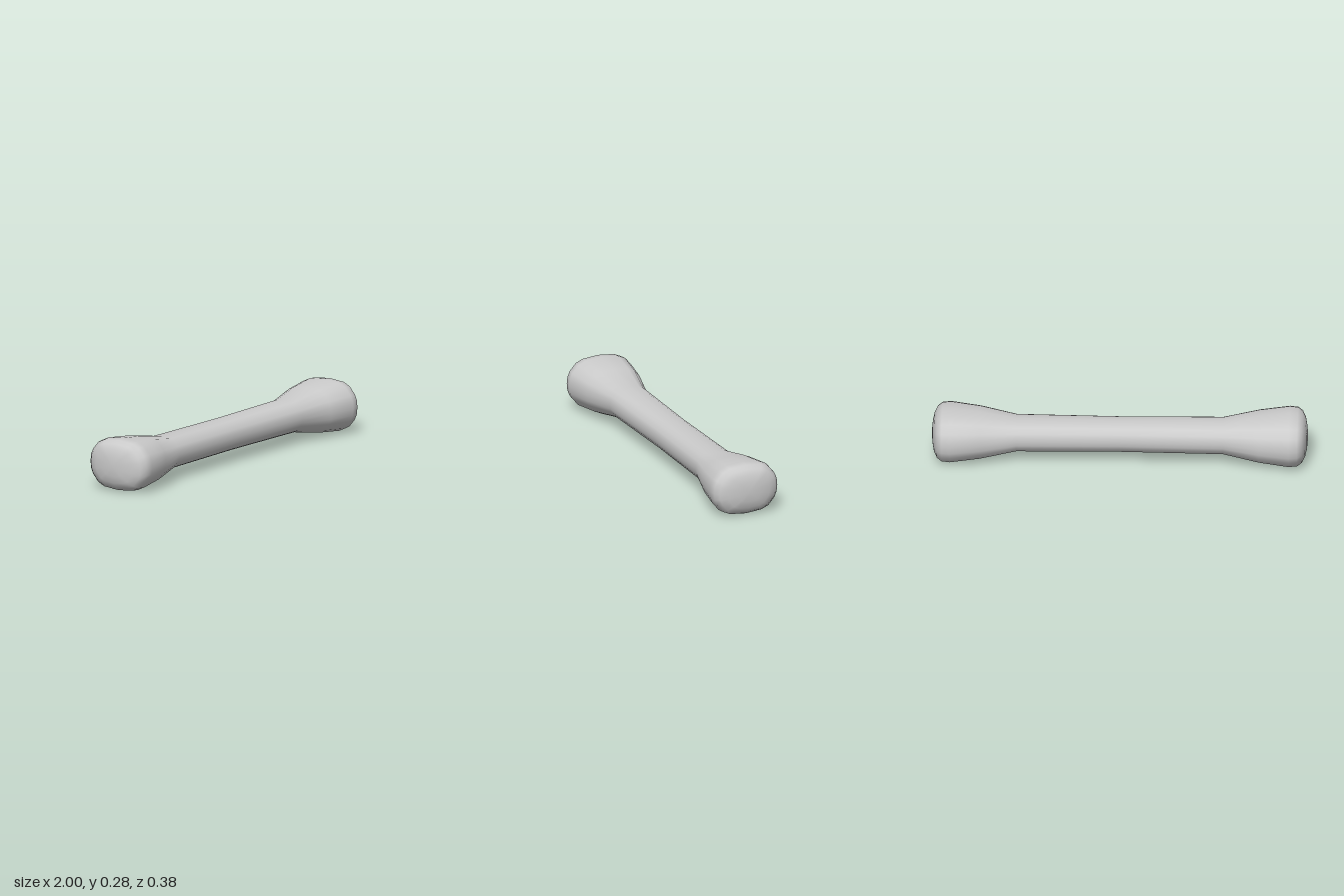
import * as THREE from 'three';

// One quadrant of the unit cross-section as [z, y], from the top to the side
const QUADRANT = [[0, 1], [0.5, 0.935], [0.72, 0.8], [0.91, 0.5], [0.98, 0.27]];

// Half of the length: [x, half height, half depth], mirrored for the other end
const STATIONS = [
  [0, 0.084, 0.103],
  [0.55, 0.087, 0.112],
  [0.74, 0.122, 0.163],
  [0.9, 0.14, 0.19],
  [0.945, 0.136, 0.184],
  [0.97, 0.119, 0.162],
  [0.986, 0.092, 0.12],
  [0.995, 0.055, 0.065],
];
const CENTRE_Y = 0.142;

// Full closed section, made by mirroring the quadrant four ways
function makeSection() {
  const side = [[1, 0]];
  const lower = [...QUADRANT].reverse().map(([z, y]) => [z, -y]);
  const right = [...QUADRANT, ...side, ...lower];
  const left = right.slice(1, -1).reverse().map(([z, y]) => [-z, y]);
  return [...right, ...left];
}

function loftBar() {
  const section = makeSection();
  const n = section.length;
  const mirrored = STATIONS.slice(1).reverse().map(([x, h, d]) => [-x, h, d]);
  const rings = [...mirrored, ...STATIONS];
  const positions = [];
  const index = [];
  for (const [x, h, d] of rings) {
    for (const [z, y] of section) positions.push(x, CENTRE_Y + y * h, z * d);
  }
  // Centre points of the two domed ends
  const start = rings.length * n;
  positions.push(-1, CENTRE_Y, 0, 1, CENTRE_Y, 0);
  const last = (rings.length - 1) * n;
  for (let j = 0; j < n; j++) {
    const k = (j + 1) % n;
    for (let i = 0; i < rings.length - 1; i++) {
      const a = i * n + j, b = i * n + k;
      index.push(a, b, a + n, b, b + n, a + n);
    }
    index.push(start, k, j, last + j, last + k, start + 1);
  }
  const geometry = new THREE.BufferGeometry();
  geometry.setAttribute('position', new THREE.Float32BufferAttribute(positions, 3));
  geometry.setIndex(index);
  geometry.computeVertexNormals();
  return geometry;
}

export function createModel() {
  const group = new THREE.Group();
  group.name = 'flaredBar';
  // Slim shaft flaring into a rounded knob at both ends
  const bar = new THREE.Mesh(loftBar(), new THREE.MeshStandardMaterial({ color: 0xcccccc }));
  bar.name = 'shaftWithKnobs';
  group.add(bar);
  return group;
}
